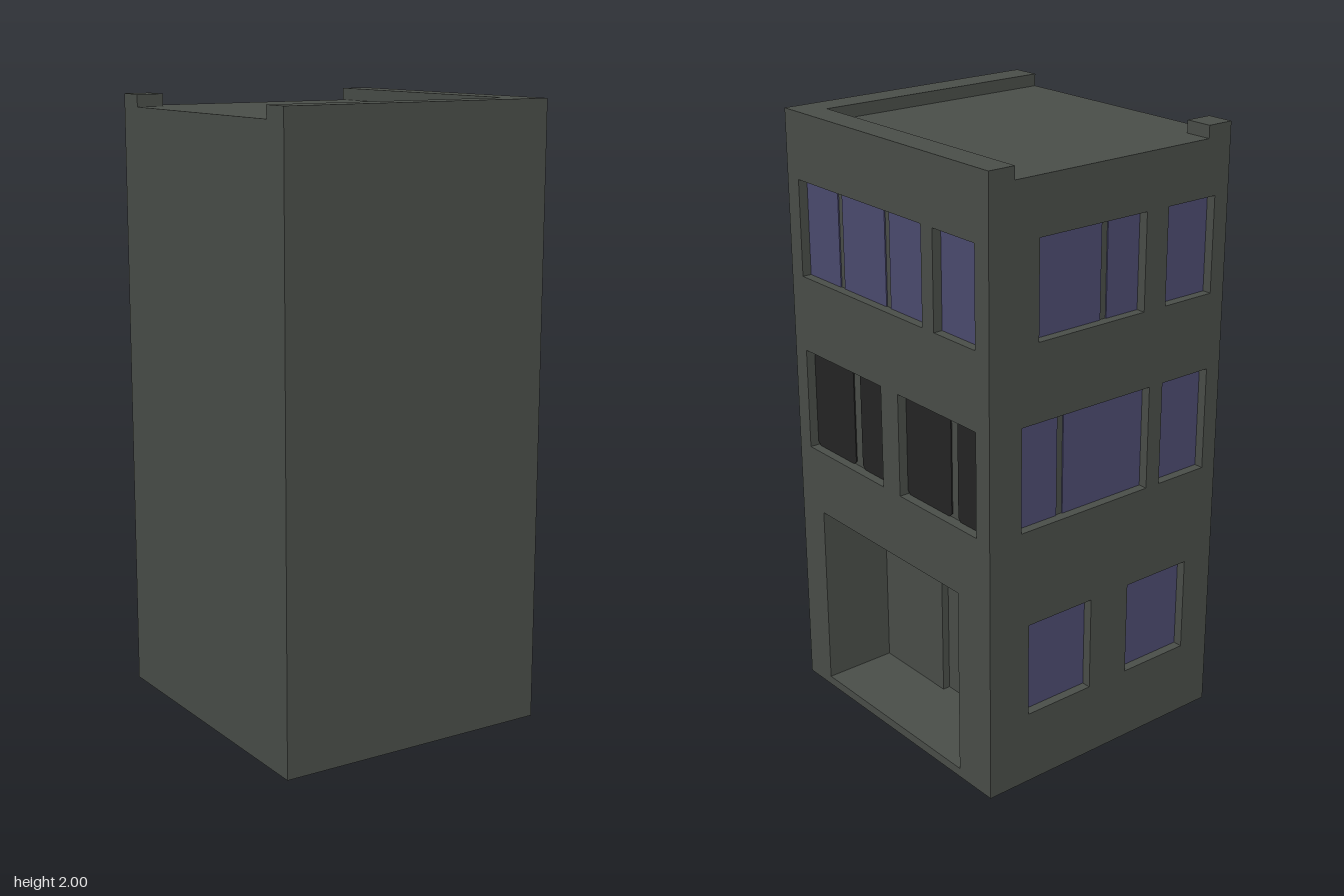
import * as THREE from 'three';

const W = 0.467, D = 0.5, ROOF = 1.96, RECESS = 0.035;

export function createModel() {
  const group = new THREE.Group();
  const material = (name, color) => {
    const m = new THREE.MeshStandardMaterial({ color });
    m.name = name;
    return m;
  };
  const wall = material('wall grey', 0x4a4e49);
  const glass = material('blue glass', 0x4c4b70);
  const dark = material('dark glass', 0x252525);

  function add(name, geometry, mat) {
    const mesh = new THREE.Mesh(geometry, mat);
    mesh.name = name;
    group.add(mesh);
  }

  function box(name, x0, x1, y0, y1, z0, z1, mat = wall) {
    const g = new THREE.BoxGeometry(x1 - x0, y1 - y0, z1 - z0);
    g.translate((x0 + x1) / 2, (y0 + y1) / 2, (z0 + z1) / 2);
    add(name, g, mat);
  }

  // Rectangle outline [u0, u1, v0, v1] with optional cut corners
  function outline([u0, u1, v0, v1], cut = 0) {
    const p = cut
      ? [[u0 + cut, v0], [u1 - cut, v0], [u1, v0 + cut], [u1, v1 - cut],
        [u1 - cut, v1], [u0 + cut, v1], [u0, v1 - cut], [u0, v0 + cut]]
      : [[u0, v0], [u1, v0], [u1, v1], [u0, v1]];
    return p.map(([u, v]) => new THREE.Vector2(u, v));
  }

  // Upright slab with rectangular holes, from depth d0 to d1 along the facing direction
  function slab(name, rect, holes, d0, d1, angle, mat = wall, cut = 0) {
    const shape = new THREE.Shape(outline(rect, cut));
    for (const h of holes) shape.holes.push(new THREE.Path(outline(h)));
    const g = new THREE.ExtrudeGeometry(shape, { depth: d1 - d0, bevelEnabled: false });
    g.translate(0, 0, d0);
    g.rotateY(angle);
    add(name, g, mat);
  }

  const SIDE = Math.PI / 2; // facing +x, u = -z
  const BACK = Math.PI;     // facing -z, u = -x

  // Each window: opening, and the spans of its panes
  const sideWindows = [
    { r: [-0.44, 0.19, 1.47, 1.785], panes: [[-0.44, -0.272], [-0.25, -0.03], [-0.007, 0.19]], mat: glass },
    { r: [0.245, 0.437, 1.47, 1.785], panes: [[0.245, 0.437]], mat: glass },
    { r: [-0.44, -0.03, 0.88, 1.22], panes: [[-0.44, -0.222], [-0.185, -0.03]], mat: dark },
    { r: [0.058, 0.437, 0.88, 1.22], panes: [[0.058, 0.28], [0.312, 0.437]], mat: dark },
  ];
  const backWindows = [
    { r: [-0.283, 0.13, 1.47, 1.78], panes: [[-0.283, -0.02], [0.004, 0.13]], mat: glass },
    { r: [0.218, 0.411, 1.47, 1.78], panes: [[0.218, 0.411]], mat: glass },
    { r: [-0.346, 0.163, 0.88, 1.22], panes: [[-0.346, -0.183], [-0.159, 0.163]], mat: glass },
    { r: [0.218, 0.411, 0.88, 1.22], panes: [[0.218, 0.411]], mat: glass },
    { r: [-0.315, -0.06, 0.245, 0.56], panes: [[-0.315, -0.06]], mat: glass },
    { r: [0.095, 0.35, 0.245, 0.56], panes: [[0.095, 0.35]], mat: glass },
  ];

  // Body in layers behind the side facade, with the entrance and door cut in
  const entry = [-0.38, 0.345, 0.03, 0.66];
  const door = [-0.065, 0.22, 0.03, 0.5];
  const full = [-D, D - RECESS, 0, ROOF];
  const wallX = W - 0.25, doorX = wallX - 0.03;
  slab('sideFacade', full, [entry, ...sideWindows.map((w) => w.r)], W - RECESS, W, SIDE);
  slab('entranceWalls', full, [entry], wallX, W - RECESS, SIDE);
  slab('doorWall', full, [door], doorX, wallX, SIDE);
  box('mainBlock', -W, doorX, 0, ROOF, -D + RECESS, D);
  slab('backFacade', [-W, W, 0, ROOF], backWindows.map((w) => w.r), D - RECESS, D, BACK);

  // Window panes
  function glaze(name, windows, depth, angle) {
    for (const { r, panes, mat } of windows) {
      for (const [a, b] of panes) {
        slab(name, [a, b, r[2], r[3]], [], depth, depth + 0.004, angle, mat, mat === dark ? 0.012 : 0);
      }
    }
  }
  glaze('sidePane', sideWindows, W - RECESS, SIDE);
  glaze('backPane', backWindows, D - RECESS, BACK);

  // Door leaf and handle
  slab('doorLeaf', door, [], doorX, doorX + 0.004, SIDE);
  box('handlePlate', doorX, doorX + 0.012, 0.222, 0.282, -0.187, -0.153);
  for (const z of [-0.178, -0.162]) {
    const g = new THREE.CylinderGeometry(0.006, 0.006, 0.03, 10);
    g.rotateZ(Math.PI / 2);
    g.translate(doorX + 0.025, 0.258, z);
    add('handleKnob', g, wall);
  }

  // Parapet on two sides and a corner block
  box('frontParapet', -W, W, ROOF, 2, 0.405, D);
  box('sideParapet', 0.374, W, ROOF, 2, -D, 0.405);
  box('cornerBlock', -W, -0.375, ROOF, 2, -D, -0.408);

  return group;
}
